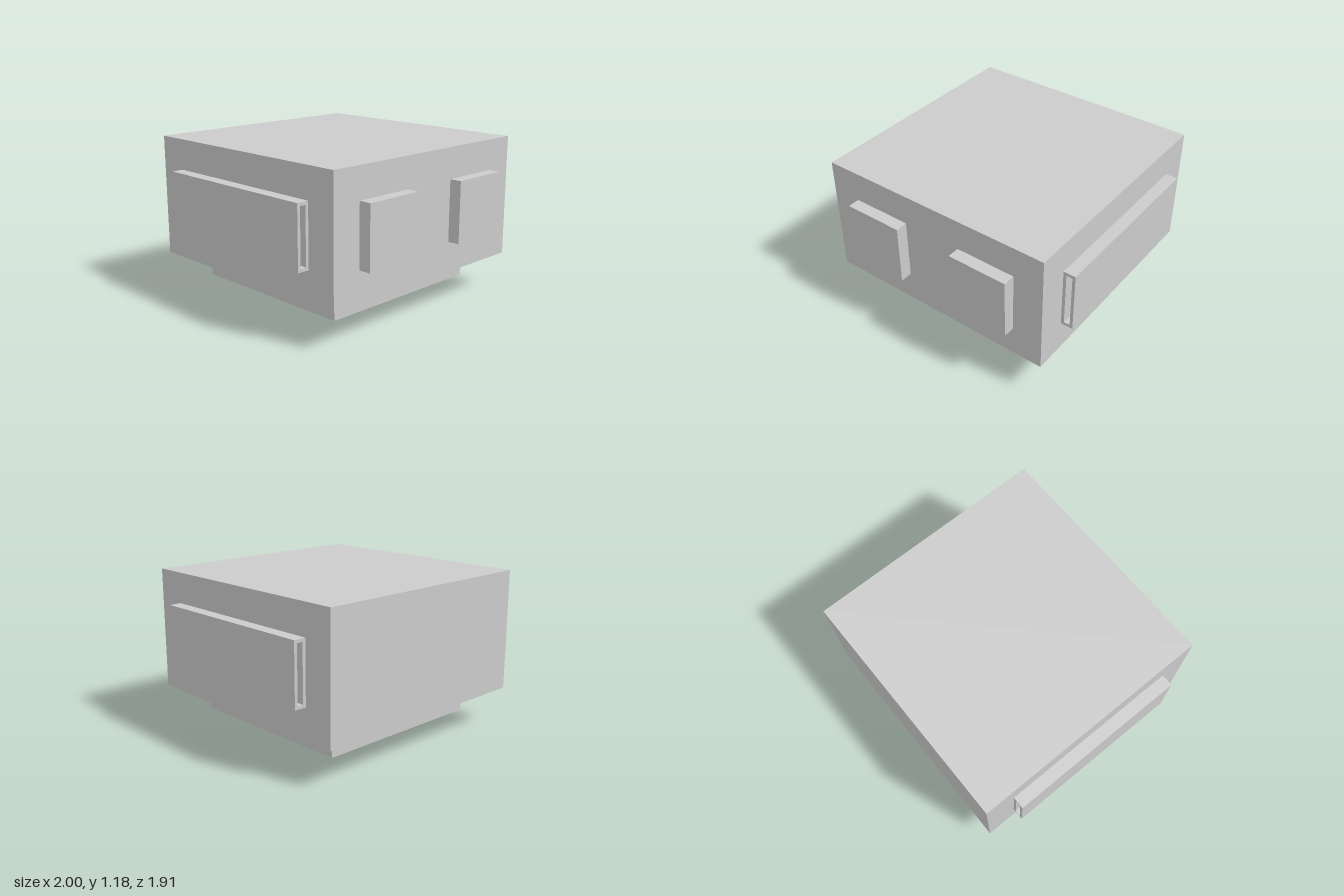
import * as THREE from 'three';

const U = 1 / 11; // modelling unit: the whole width is 22 units

export function createModel() {
  const group = new THREE.Group();
  const mat = new THREE.MeshStandardMaterial({ color: 0xcccccc, flatShading: true });
  const thin = new THREE.MeshStandardMaterial({ color: 0xcccccc, flatShading: true, side: THREE.DoubleSide });

  const add = (name, geo, material = mat) => {
    const mesh = new THREE.Mesh(geo, material);
    mesh.name = name;
    group.add(mesh);
    return mesh;
  };
  // Box given by its limits in units
  const box = (name, x0, x1, y0, y1, z0, z1) =>
    add(name, new THREE.BoxGeometry((x1 - x0) * U, (y1 - y0) * U, (z1 - z0) * U))
      .position.set((x0 + x1) / 2 * U, (y0 + y1) / 2 * U, (z0 + z1) / 2 * U);
  // Counter-clockwise rectangle outline in units
  const rect = (x0, x1, y0, y1) =>
    [[x0, y0], [x1, y0], [x1, y1], [x0, y1]].map(([x, y]) => new THREE.Vector2(x * U, y * U));

  // Main body
  box('body', -10, 10, 3, 13, -10.5, 9.5);

  for (const [side, s] of [['left', 1], ['right', -1]]) {
    // Square pads on the front
    box(side + 'FrontPad', s * 5 - 2.5, s * 5 + 2.5, 5.5, 10.5, 9.5, 10.5);

    // Hollow sleeves on the sides, open at front and back
    const c = s * 10.5;
    const shape = new THREE.Shape(rect(c - 0.5, c + 0.5, 5.5, 10.5));
    shape.holes.push(new THREE.Path(rect(c - 0.25, c + 0.25, 5.75, 10.25).reverse()));
    const sleeve = new THREE.ExtrudeGeometry(shape, { depth: 15 * U, bevelEnabled: false });
    add(side + 'Sleeve', sleeve).position.z = -8 * U;
  }

  // Thin skirt under the body, open at the bottom
  const walls = [[0, -8, 0], [0, 7, 0], [-7.5, -0.5, Math.PI / 2], [7.5, -0.5, Math.PI / 2]];
  for (const [x, z, turn] of walls) {
    const wall = add('skirtWall', new THREE.PlaneGeometry(15 * U, 2 * U), thin);
    wall.position.set(x * U, 2 * U, z * U);
    wall.rotation.y = turn;
  }

  // Post with a flat foot plate
  box('post', 2.5, 5, 0.01, 3, 2, 4.5);
  const foot = add('footPlate', new THREE.PlaneGeometry(3.5 * U, 3.5 * U), thin);
  foot.rotation.x = Math.PI / 2;
  foot.position.set(3.75 * U, 0, 3.25 * U);

  return group;
}
